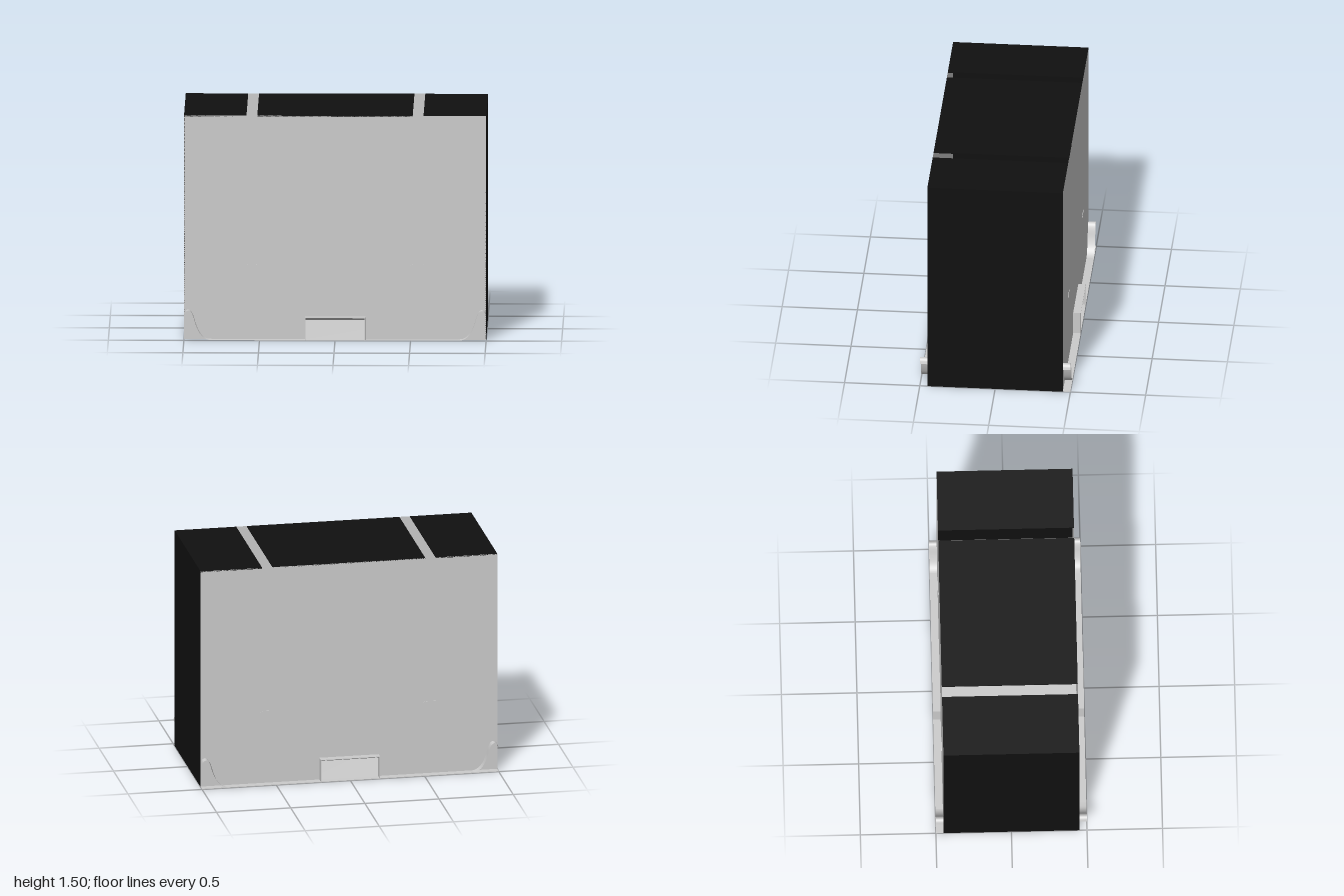
import * as THREE from 'three';

const grey = new THREE.MeshStandardMaterial({ color: 0xcccccc, side: THREE.DoubleSide });
const black = new THREE.MeshStandardMaterial({ color: 0x101010, side: THREE.DoubleSide });

// Sheet that follows an x/y cross-section and runs along z from z0 to z1
function ribbon(name, points, z0, z1) {
  const geo = new THREE.PlaneGeometry(1, 1, points.length - 1, 1);
  const pos = geo.attributes.position;
  points.forEach((p, i) => {
    pos.setXYZ(i, p.x, p.y, z0);
    pos.setXYZ(i + points.length, p.x, p.y, z1);
  });
  geo.computeVertexNormals();
  const mesh = new THREE.Mesh(geo, grey);
  mesh.name = name;
  return mesh;
}

function box(name, mat, w, h, d, x, y, z) {
  const mesh = new THREE.Mesh(new THREE.BoxGeometry(w, h, d), mat);
  mesh.position.set(x, y, z);
  mesh.name = name;
  return mesh;
}

export function createModel() {
  const group = new THREE.Group();

  // Front and back panels, notched at the bottom centre
  const outline = [[-1, 0], [-0.2, 0], [-0.2, 0.15], [0.2, 0.15], [0.2, 0], [1, 0], [1, 1.5], [-1, 1.5]];
  const panelGeo = new THREE.ShapeGeometry(new THREE.Shape(outline.map(([x, y]) => new THREE.Vector2(x, y))));
  for (const s of [1, -1]) {
    const panel = new THREE.Mesh(panelGeo, grey);
    panel.rotation.y = s > 0 ? 0 : Math.PI;
    panel.position.z = s * 0.45;
    panel.name = s > 0 ? 'frontPanel' : 'backPanel';
    group.add(panel);
  }

  // Dark side walls
  for (const s of [1, -1]) {
    group.add(box(s > 0 ? 'leftWall' : 'rightWall', black, 0.006, 1.5, 0.9, s * 0.997, 0.75, 0));
  }

  // Dark top in three pieces, leaving two slots
  for (const [a, b] of [[-1, -0.587], [-0.515, 0.513], [0.585, 1]]) {
    group.add(box('topPanel', black, b - a, 0.006, 0.9, (a + b) / 2, 1.497, 0));
  }

  // Tray: flat floor, sweeping up at both ends into a rolled lip
  const end = [[0.8, 0.002], [0.85, 0.008], [0.89, 0.04], [0.92, 0.1], [0.94, 0.165], [0.955, 0.192],
    [0.972, 0.2], [0.99, 0.19], [1, 0.165]].map(([x, y]) => new THREE.Vector3(x, y, 0));
  const right = new THREE.CatmullRomCurve3(end).getPoints(32);
  const left = right.map((p) => new THREE.Vector3(-p.x, p.y, 0)).reverse();
  group.add(ribbon('tray', [...left, ...right], -0.5, 0.5));

  // Thin foot strip along the back edge
  group.add(box('footStrip', grey, 2, 0.004, 0.05, 0, 0.002, -0.475));

  // Frames round the openings, with a sloping lintel under each roof
  for (const s of [1, -1]) {
    const frame = new THREE.Group();
    frame.name = s > 0 ? 'frontOpeningFrame' : 'backOpeningFrame';
    frame.add(box('frameRoof', grey, 0.4, 0.004, 0.05, 0, 0.153, 0.475));
    for (const side of [1, -1]) {
      frame.add(box('frameSide', grey, 0.004, 0.155, 0.05, side * 0.198, 0.0775, 0.475));
    }
    const lintel = box('frameLintel', grey, 0.396, 0.003, 0.054, 0, 0.143, 0.474);
    lintel.rotation.x = -0.38;
    frame.add(lintel);
    frame.rotation.y = s > 0 ? 0 : Math.PI;
    group.add(frame);
  }

  // Cross bars inside, their ends just showing through the panels
  const arch = [[-0.052, 0.492], [-0.046, 0.501], [-0.03, 0.504], [0.03, 0.504], [0.046, 0.501], [0.052, 0.492]];
  for (const s of [1, -1]) {
    group.add(ribbon('crossBar', arch.map(([x, y]) => new THREE.Vector3(x + s * 0.55, y, 0)), -0.453, 0.453));
  }

  return group;
}
